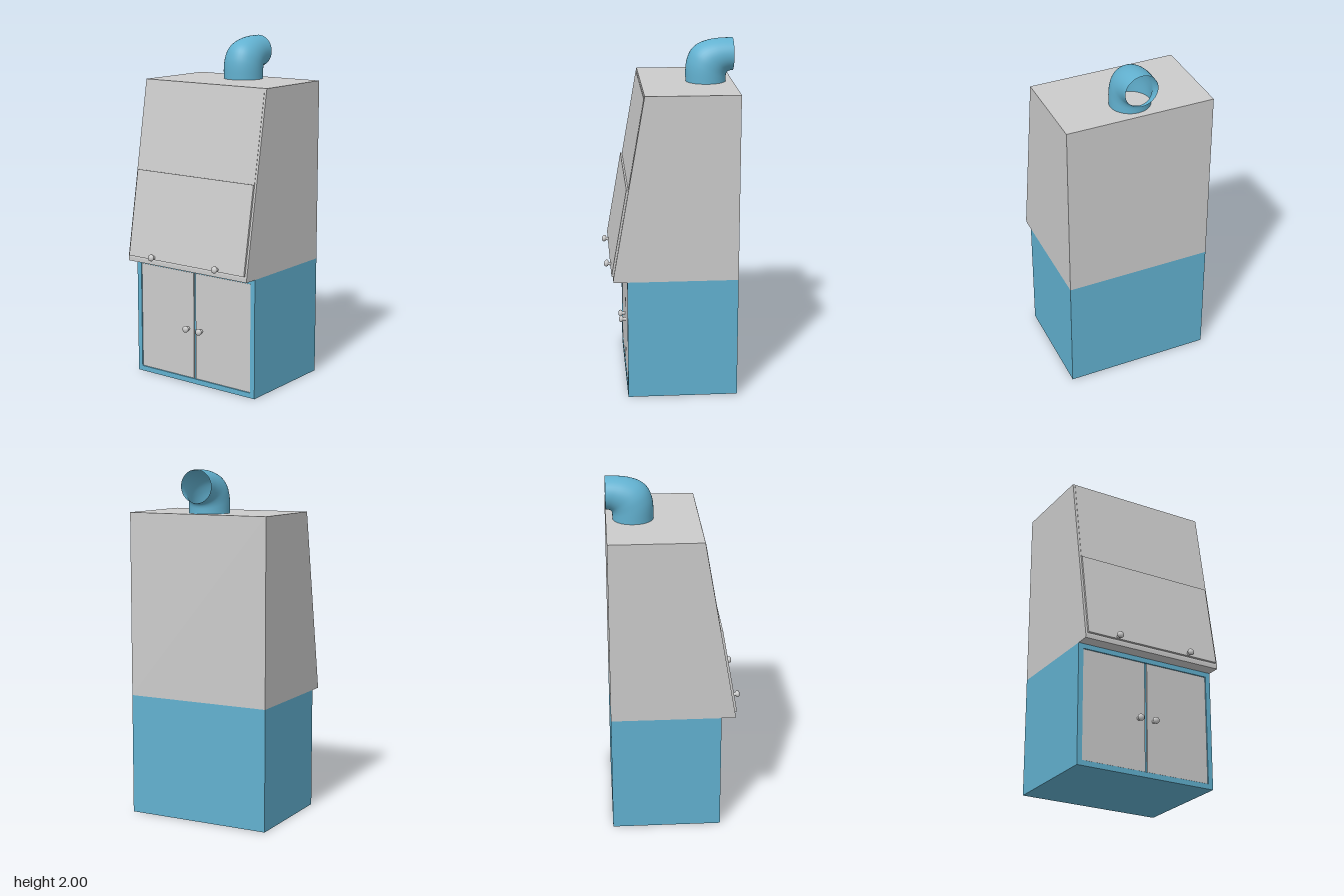
import * as THREE from 'three';

const grey = new THREE.MeshStandardMaterial({ color: 0xcccccc });
const blue = new THREE.MeshStandardMaterial({ color: 0x62b1d0 });
const blueOpen = new THREE.MeshStandardMaterial({ color: 0x62b1d0, side: THREE.DoubleSide });

function mesh(parent, name, geometry, material) {
  const m = new THREE.Mesh(geometry, material);
  m.name = name;
  parent.add(m);
  return m;
}

// Box given by its minimum and maximum corners
function box(parent, name, a, b, material) {
  const m = mesh(parent, name, new THREE.BoxGeometry(b[0] - a[0], b[1] - a[1], b[2] - a[2]), material);
  m.position.set((a[0] + b[0]) / 2, (a[1] + b[1]) / 2, (a[2] + b[2]) / 2);
  return m;
}

// Turned knob pointing along -x
function knob(parent, name, x, y, z) {
  const points = [[0.011, 0], [0.009, 0.015], [0.016, 0.018], [0.02, 0.026], [0.018, 0.034], [0.01, 0.039], [0, 0.04]];
  const g = new THREE.LatheGeometry(points.map(p => new THREE.Vector2(...p)), 24);
  g.rotateZ(Math.PI / 2);
  mesh(parent, name, g, grey).position.set(x, y, z);
}

// Tapered elbow: each ring spans an outer point, an inner point and a half width
function elbowGeometry() {
  const outer = [[0.107, 1.755], [0.107, 1.83], [0.115, 1.88], [0.137, 1.93], [0.175, 1.965], [0.235, 1.988], [0.3, 1.998], [0.375, 2]];
  const inner = [[0.337, 1.755], [0.337, 1.775], [0.338, 1.79], [0.341, 1.8], [0.346, 1.807], [0.353, 1.811], [0.363, 1.814], [0.375, 1.815]];
  const width = [0.115, 0.115, 0.114, 0.112, 0.108, 0.103, 0.098, 0.095];
  const curve = pts => new THREE.CatmullRomCurve3(pts.map(p => new THREE.Vector3(p[0], p[1], 0)));
  const co = curve(outer), ci = curve(inner);
  const cw = curve(width.map((w, i) => [i, w]));
  const rings = 28, sides = 40;
  const pos = [], index = [];
  for (let i = 0; i <= rings; i++) {
    const t = i / rings, o = co.getPoint(t), n = ci.getPoint(t), w = cw.getPoint(t).y;
    const mid = o.clone().add(n).multiplyScalar(0.5), half = o.clone().sub(mid);
    for (let j = 0; j < sides; j++) {
      const a = (j / sides) * Math.PI * 2;
      pos.push(mid.x + half.x * Math.cos(a), mid.y + half.y * Math.cos(a), w * Math.sin(a));
      if (i < rings) {
        const p = i * sides + j, q = i * sides + (j + 1) % sides;
        index.push(p, q, p + sides, q, q + sides, p + sides);
      }
    }
  }
  const g = new THREE.BufferGeometry();
  g.setAttribute('position', new THREE.Float32BufferAttribute(pos, 3));
  g.setIndex(index);
  g.computeVertexNormals();
  return g;
}

export function createModel() {
  const model = new THREE.Group();
  model.name = 'fumeHood';

  // Base cabinet with a framed opening on its working side (-x)
  box(model, 'cabinet', [-0.24, 0, -0.43], [0.375, 0.698, 0.43], blue);
  const rect = (C, x, y0, y1) => new C([[-x, y0], [x, y0], [x, y1], [-x, y1]].map(p => new THREE.Vector2(...p)));
  const frame = rect(THREE.Shape, 0.43, 0, 0.698);
  frame.holes.push(rect(THREE.Path, 0.4, 0.03, 0.67));
  const frameGeo = new THREE.ExtrudeGeometry(frame, { depth: 0.012, bevelEnabled: false });
  frameGeo.rotateY(-Math.PI / 2);
  mesh(model, 'cabinetFrame', frameGeo, blue).position.x = -0.24;

  // Pair of doors with knobs
  for (const s of [-1, 1]) {
    const z = [s * 0.007, s * 0.398].sort((a, b) => a - b);
    box(model, 'door', [-0.248, 0.032, z[0]], [-0.239, 0.668, z[1]], grey);
    knob(model, 'doorKnob', -0.248, 0.33, s * 0.048);
  }

  // Upper hood with a sloping working side
  const side = new THREE.Shape([[-0.33, 0.698], [0.375, 0.698], [0.375, 1.755], [-0.15, 1.755], [-0.33, 0.72]]
    .map(p => new THREE.Vector2(...p)));
  const hood = new THREE.ExtrudeGeometry(side, { depth: 0.86, bevelEnabled: false });
  mesh(model, 'hood', hood, grey).position.z = -0.43;

  // Parts lying on the slope: local y runs up it, local -x points outwards
  const slope = new THREE.Group();
  slope.name = 'slopedFront';
  slope.position.set(-0.33, 0.72, 0);
  slope.rotation.z = -Math.atan2(0.18, 1.035);
  model.add(slope);
  box(slope, 'upperPanel', [-0.002, 0.5, -0.417], [0.004, 1.035, 0.417], grey);
  box(slope, 'sash', [-0.012, 0.01, -0.417], [0.004, 0.52, 0.417], grey);
  for (const s of [-1, 1]) knob(slope, 'sashKnob', -0.01, 0.022, s * 0.23);

  // Exhaust elbow, open towards the back of the hood
  mesh(model, 'exhaustElbow', elbowGeometry(), blueOpen);
  return model;
}
